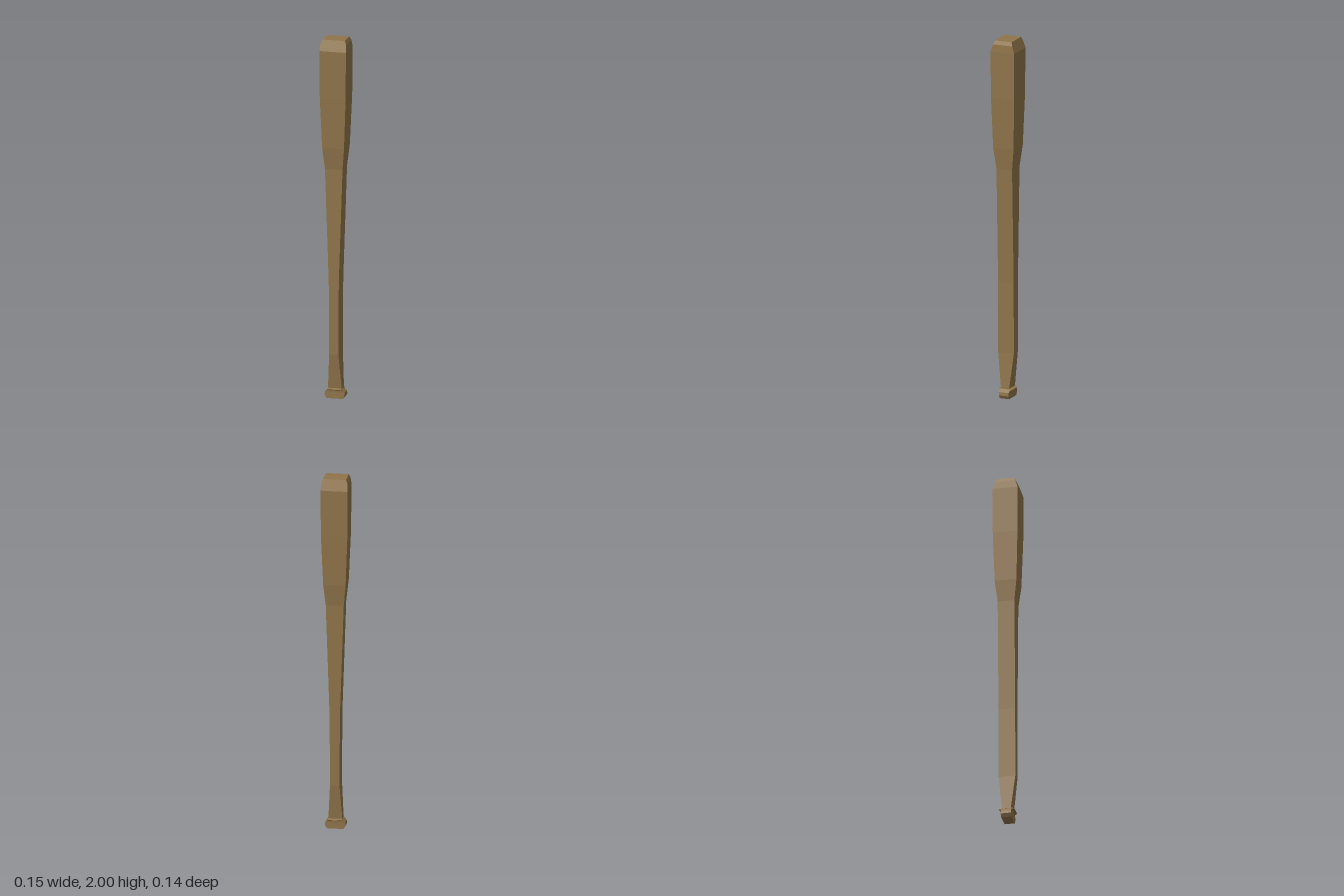
import * as THREE from 'three';

const wood = new THREE.MeshStandardMaterial({ color: 0x8f744a, flatShading: true });

// Closed four-sided solid lofted through [y, halfWidth, halfDepth] sections
function loft(name, sections) {
  const pos = [], index = [];
  for (const [y, w, d] of sections) pos.push(w, y, d, w, y, -d, -w, y, -d, -w, y, d);
  for (let s = 0; s < sections.length - 1; s++) {
    for (let i = 0; i < 4; i++) {
      const a = s * 4 + i, b = s * 4 + (i + 1) % 4;
      index.push(a, b, b + 4, a, b + 4, a + 4);
    }
  }
  const t = (sections.length - 1) * 4;
  index.push(t, t + 1, t + 2, t, t + 2, t + 3); // top cap
  index.push(0, 2, 1, 0, 3, 2); // bottom cap
  const indexed = new THREE.BufferGeometry();
  indexed.setAttribute('position', new THREE.Float32BufferAttribute(pos, 3));
  indexed.setIndex(index);
  const geometry = indexed.toNonIndexed();
  geometry.computeVertexNormals();
  const mesh = new THREE.Mesh(geometry, wood);
  mesh.name = name;
  return mesh;
}

export function createModel() {
  const bat = new THREE.Group();
  bat.name = 'bat';

  // Knob: chamfered end with a thin flared lip
  bat.add(loft('knob', [
    [0, 0.045, 0.028],
    [0.018, 0.056, 0.028],
    [0.036, 0.054, 0.028],
    [0.046, 0.043, 0.029],
    [0.052, 0.037, 0.042],
    [0.057, 0.037, 0.025],
  ]));

  // Handle, shoulder and barrel with a bevelled tip
  bat.add(loft('handleAndBarrel', [
    [0.055, 0.038, 0.024],
    [0.25, 0.026, 0.046],
    [0.65, 0.028, 0.046],
    [1.28, 0.049, 0.046],
    [1.4, 0.061, 0.06],
    [1.68, 0.072, 0.068],
    [1.94, 0.074, 0.07],
    [1.98, 0.071, 0.056],
    [2.0, 0.062, 0.049],
  ]));
  return bat;
}
